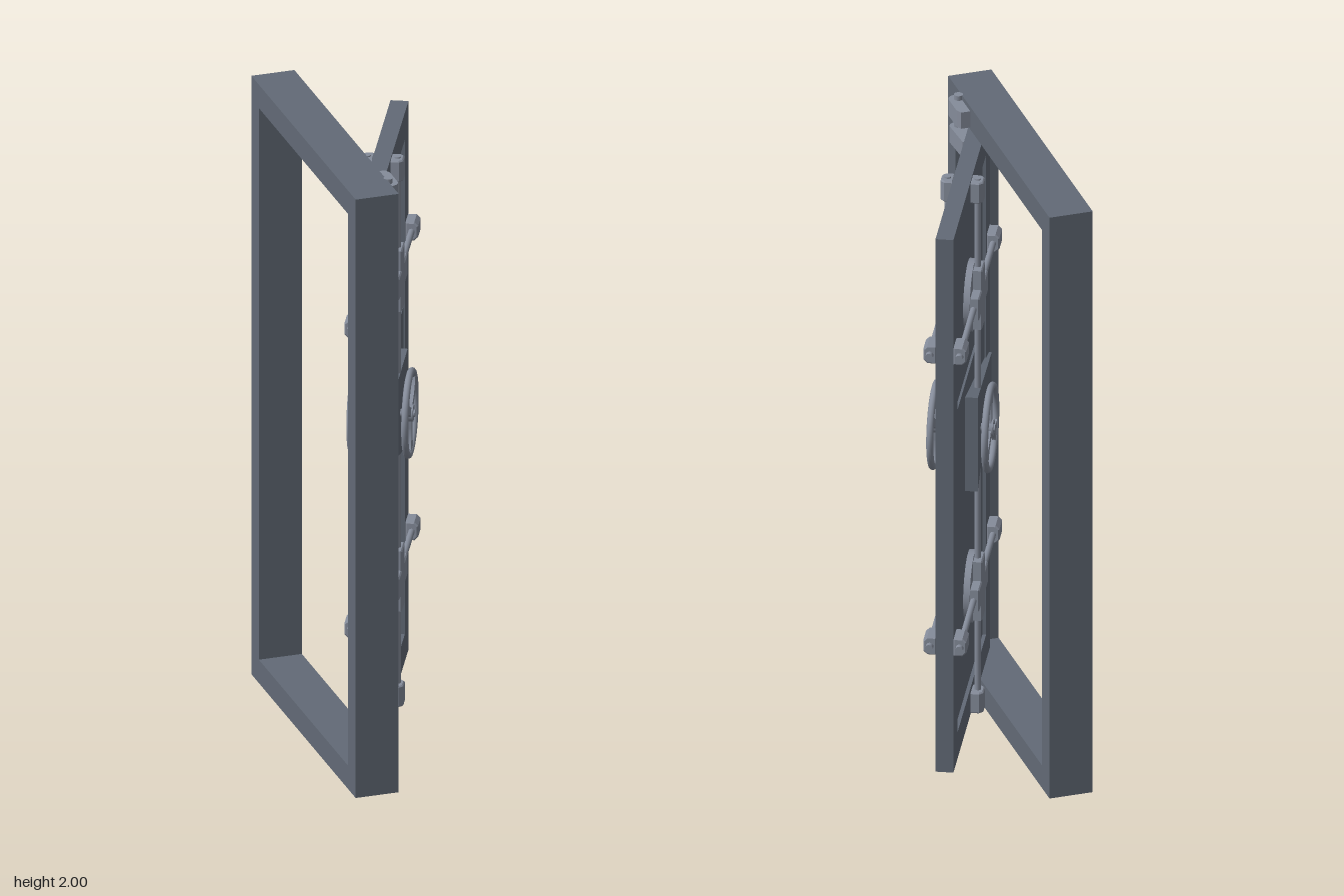
import * as THREE from 'three';

const bodyMat = new THREE.MeshStandardMaterial({ color: 0x626a76 });
const fittingMat = new THREE.MeshStandardMaterial({ color: 0x858c9a });

function add(parent, name, geo, mat, x = 0, y = 0, z = 0) {
  const mesh = new THREE.Mesh(geo, mat);
  mesh.name = name;
  mesh.position.set(x, y, z);
  parent.add(mesh);
  return mesh;
}

const polygon = (pts) => new THREE.Shape(pts.map(([a, b]) => new THREE.Vector2(a, b)));

// Extrude a shape along z, centred
function slab(shape, depth, bevel = 0) {
  const geo = new THREE.ExtrudeGeometry(shape, {
    depth: depth - 2 * bevel, curveSegments: 24, bevelEnabled: bevel > 0,
    bevelSize: bevel, bevelOffset: -bevel, bevelThickness: bevel, bevelSegments: 1,
  });
  return geo.translate(0, 0, -depth / 2 + bevel);
}

// Rectangular ring facing x: outer width and height, hole width and height
function ring(w, h, hw, hh, depth) {
  const rect = (a, b) => [[-a / 2, -b / 2], [a / 2, -b / 2], [a / 2, b / 2], [-a / 2, b / 2]];
  const shape = polygon(rect(w, h));
  shape.holes.push(polygon(rect(hw, hh)));
  return slab(shape, depth).rotateY(Math.PI / 2);
}

// Horizontal plate from [x, z] points
const plate = (pts, h) => slab(polygon(pts.map(([x, z]) => [x, -z])), h).rotateX(-Math.PI / 2);

// Points round a hinge knuckle
function arc(cx, cz, r, from, to) {
  return Array.from({ length: 9 }, (_, i) => {
    const a = from + (to - from) * i / 8;
    return [cx + r * Math.cos(a), cz + r * Math.sin(a)];
  });
}

// Block with its outer edges chamfered, running along z
const clampGeo = () => slab(polygon([
  [0.026, -0.03], [0.054, -0.03], [0.066, -0.018], [0.066, 0.018], [0.054, 0.03], [0.026, 0.03],
]), 0.07, 0.004);

// Three-spoked handwheel facing x
function handwheel() {
  const wheel = new THREE.Group();
  wheel.name = 'handwheel';
  add(wheel, 'wheelRim', new THREE.TorusGeometry(0.129, 0.011, 12, 40).rotateY(Math.PI / 2), fittingMat, 0.084);
  const shape = new THREE.Shape();
  shape.moveTo(-0.016, 0);
  shape.lineTo(-0.012, 0.05);
  shape.quadraticCurveTo(-0.012, 0.1, -0.04, 0.122);
  shape.quadraticCurveTo(0, 0.138, 0.04, 0.122);
  shape.quadraticCurveTo(0.012, 0.1, 0.012, 0.05);
  shape.lineTo(0.016, 0);
  const spoke = slab(shape, 0.012).rotateY(Math.PI / 2);
  for (let i = 0; i < 3; i++) {
    add(wheel, 'wheelSpoke', spoke, fittingMat, 0.084).rotation.x = Math.PI / 3 + i * Math.PI * 2 / 3;
  }
  add(wheel, 'wheelHub', new THREE.CylinderGeometry(0.026, 0.026, 0.022, 24).rotateZ(Math.PI / 2), fittingMat, 0.084);
  add(wheel, 'wheelShaft', new THREE.CylinderGeometry(0.012, 0.012, 0.06, 16).rotateZ(Math.PI / 2), fittingMat, 0.07);
  return wheel;
}

// Gearbox plate: low, thick and wide by the wheel, narrowing toward the hinge
function gearbox() {
  const geo = new THREE.BoxGeometry(1, 1, 1);
  const p = geo.attributes.position;
  for (let i = 0; i < p.count; i++) {
    const hinge = p.getZ(i) > 0;
    const x = p.getX(i) > 0 ? (hinge ? 0.036 : 0.062) : 0.02;
    p.setXYZ(i, x, Math.sign(p.getY(i)) * (hinge ? 0.053 : 0.16), hinge ? 0.395 : -0.12);
  }
  geo.computeVertexNormals();
  return geo;
}

// Bolt hub: round base with a cross on it, facing x
function boltHub() {
  const hub = new THREE.Group();
  hub.name = 'boltHub';
  add(hub, 'hubDisc', new THREE.CylinderGeometry(0.112, 0.112, 0.024, 40).rotateZ(Math.PI / 2), fittingMat, 0.024);
  const a = 0.036, b = 0.1;
  const cross = polygon([[a, a], [a, b], [-a, b], [-a, a], [-b, a], [-b, -a],
    [-a, -a], [-a, -b], [a, -b], [a, -a], [b, -a], [b, a]]);
  add(hub, 'hubCross', slab(cross, 0.036, 0.004).rotateY(Math.PI / 2), fittingMat, 0.046);
  return hub;
}

// Locking gear for one face of the door; turn is 0 or PI about each part's own height
function lockingGear(turn) {
  const gear = new THREE.Group();
  gear.name = turn ? 'rearLockingGear' : 'frontLockingGear';
  const at = (y, ...parts) => {
    const holder = new THREE.Group();
    holder.name = 'gearLevel';
    holder.position.y = y;
    holder.rotation.z = turn;
    if (parts.length) holder.add(...parts);
    gear.add(holder);
    return holder;
  };
  add(at(1.06, handwheel()), 'gearbox', gearbox(), bodyMat);
  for (const y of [1.51, 0.515]) {
    const level = at(y, boltHub());
    add(level, 'horizontalBolt', new THREE.CylinderGeometry(0.01, 0.01, 0.84, 12).rotateX(Math.PI / 2), fittingMat, 0.046);
    for (const s of [-1, 1]) {
      add(level, 'sideClamp', clampGeo(), fittingMat, 0, 0, s * 0.38);
      add(level, 'boltTip', new THREE.CylinderGeometry(0.012, 0.012, 0.02, 12).rotateX(Math.PI / 2), fittingMat, 0.046, 0, s * 0.421);
    }
  }
  const upright = at(1);
  add(upright, 'verticalBolt', new THREE.CylinderGeometry(0.01, 0.01, 1.82, 12), fittingMat, 0.046);
  for (const s of [-1, 1]) {
    add(upright, 'endClamp', clampGeo().rotateX(Math.PI / 2), fittingMat, 0, s * 0.871);
  }
  return gear;
}

export function createModel() {
  const model = new THREE.Group();
  model.name = 'vaultDoor';

  // Door frame with its fixed hinge leaves
  const frame = new THREE.Group();
  frame.name = 'doorFrame';
  frame.position.set(-0.1715, 0, 0);
  frame.rotation.y = 0.012;
  add(frame, 'frameRing', ring(0.993, 1.985, 0.85, 1.83, 0.138), bodyMat, 0, 1.0075);
  const fixedLeaf = plate([[0.06, 0.28], [0.098, 0.28], [0.107, 0.3],
    ...arc(0.08, 0.373, 0.027, 0, Math.PI / 2), [0.06, 0.4]], 0.055);
  for (const s of [-1, 1]) add(frame, 'frameHingeLeaf', fixedLeaf, fittingMat, 0, 1 + s * 0.957);
  model.add(frame);

  // Door, swung open about the hinge
  const door = new THREE.Group();
  door.name = 'door';
  door.position.set(0.01, 0, 0.007);
  door.rotation.y = -THREE.MathUtils.degToRad(25);
  add(door, 'doorBorder', ring(0.84, 1.82, 0.66, 1.64, 0.055), bodyMat, 0, 1);
  add(door, 'recessedPanel', new THREE.BoxGeometry(0.032, 1.66, 0.68), bodyMat, 0, 1);
  add(door, 'middlePanel', new THREE.BoxGeometry(0.046, 0.41, 0.67), bodyMat, 0, 1.06);
  door.add(lockingGear(0), lockingGear(Math.PI));
  const movingLeaf = plate([[0.02, 0.265], [0.036, 0.265],
    ...arc(0.063, 0.371, 0.027, -0.25, Math.PI * 0.6), [0.02, 0.395]], 0.055);
  for (const s of [-1, 1]) {
    add(door, 'doorHingeLeaf', movingLeaf, fittingMat, 0, 1 + s * 0.865);
    add(door, 'hingePin', new THREE.CylinderGeometry(0.014, 0.014, 0.17, 16), fittingMat, 0.063, 1 + s * 0.915, 0.371);
  }
  model.add(door);
  return model;
}
